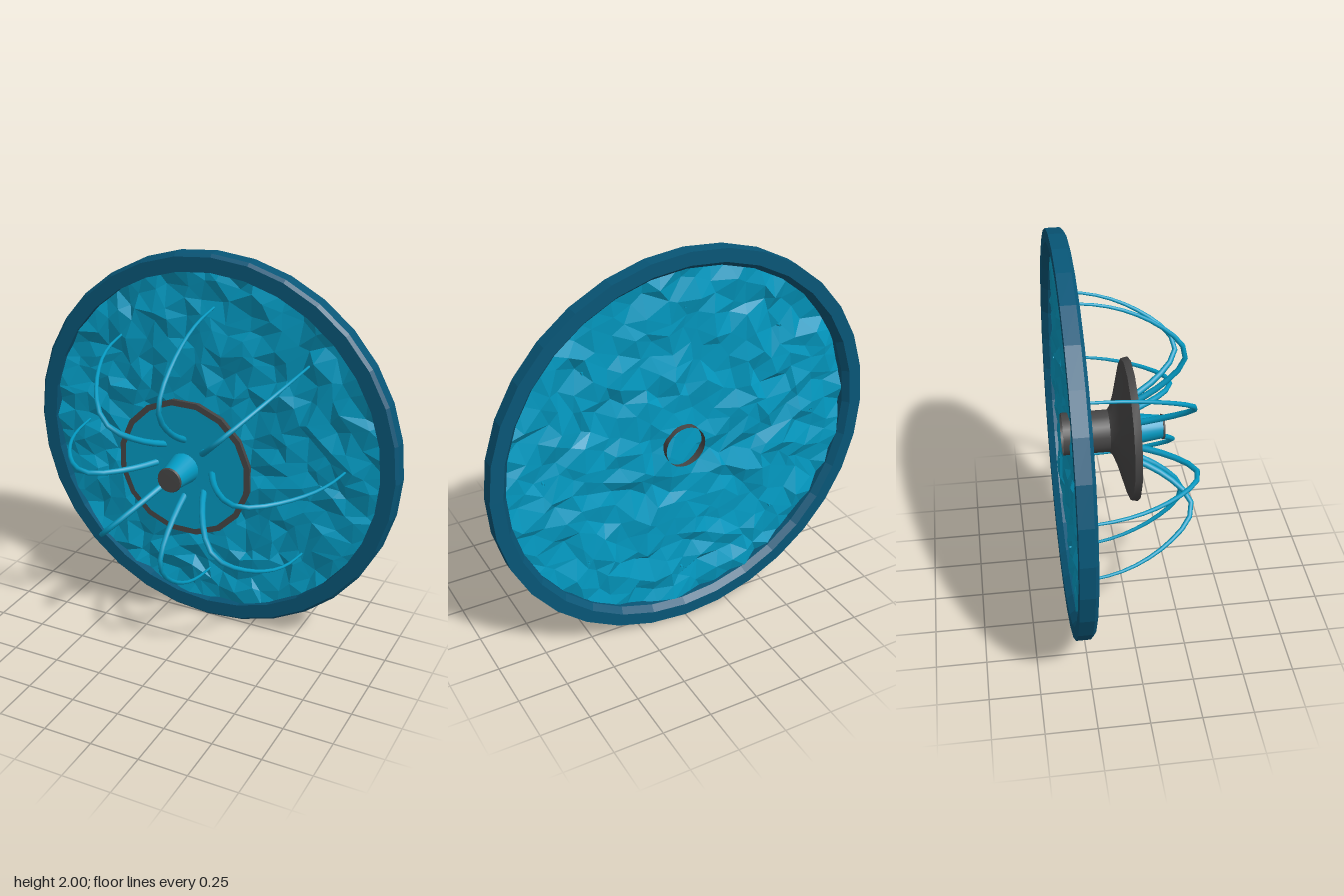
import * as THREE from 'three';
import { toCreasedNormals } from 'three/addons/utils/BufferGeometryUtils.js';

const side = THREE.DoubleSide;
const mat = (name, color, flatShading) => Object.assign(
  new THREE.MeshStandardMaterial({ color, side, flatShading }), { name });

// Revolve a [radius, z] profile around the z axis
function lathe(profile, segments, phiStart = 0) {
  const pts = profile.map(([r, z]) => new THREE.Vector2(r, z));
  const g = new THREE.LatheGeometry(pts, segments, phiStart).rotateX(Math.PI / 2);
  return toCreasedNormals(g, 0.5);
}

// Faceted disc: concentric rings with 6 more points each, shifted by seeded noise
function rippledDisc(radius, rings, z) {
  let seed = 7;
  const rand = () => {
    seed = (seed * 16807) % 2147483647;
    return seed / 2147483647 * 2 - 1;
  };
  const pos = [0, 0, z], index = [];
  const step = radius / rings;
  const start = i => (i === 0 ? 0 : 1 + 3 * i * (i - 1));
  const at = (i, k) => (i === 0 ? 0 : start(i) + k % (6 * i));
  for (let i = 1; i <= rings; i++) {
    const j = i === rings ? 0 : step * 0.36;
    for (let k = 0; k < 6 * i; k++) {
      const a = (k + i * 0.37) / (6 * i) * Math.PI * 2;
      pos.push(Math.cos(a) * i * step + rand() * j,
        Math.sin(a) * i * step + rand() * j, z + rand() * 0.022);
    }
    for (let s = 0; s < 6; s++) {
      for (let k = 0; k < i; k++) {
        const o = s * i + k, n = s * (i - 1) + k;
        index.push(at(i, o), at(i, o + 1), at(i - 1, n));
        if (k < i - 1) index.push(at(i - 1, n), at(i, o + 1), at(i - 1, n + 1));
      }
    }
  }
  const g = new THREE.BufferGeometry();
  g.setAttribute('position', new THREE.Float32BufferAttribute(pos, 3));
  g.setIndex(index);
  g.computeVertexNormals();
  return g;
}

// Tube that narrows from r0 to r1 along its curve
function taperedTube(curve, steps, sides, r0, r1) {
  const g = new THREE.TubeGeometry(curve, steps, 1, sides, false);
  const p = g.attributes.position, v = new THREE.Vector3();
  for (let i = 0; i < p.count; i++) {
    const t = Math.floor(i / (sides + 1)) / steps;
    const c = curve.getPointAt(t);
    v.fromBufferAttribute(p, i).sub(c).multiplyScalar(r0 + (r1 - r0) * t).add(c);
    p.setXYZ(i, v.x, v.y, v.z);
  }
  return g;
}

export function createModel() {
  const model = new THREE.Group();
  const body = new THREE.Group();
  body.name = 'fountain';
  body.position.y = 1;
  model.add(body);

  const rimBlue = mat('rim blue', 0x085677, true);
  const waterFlat = mat('water blue', 0x029ac2, true);
  const darkGrey = mat('dark grey', 0x474646, false);
  const waterSmooth = mat('jet blue', 0x029ac2, false);
  const add = (name, geometry, material, parent = body) => {
    const m = new THREE.Mesh(geometry, material);
    m.name = name;
    parent.add(m);
    return m;
  };

  // Basin
  add('basinRim', lathe([[0.935, -0.318], [1, -0.318], [1, -0.248],
    [0.985, -0.232], [0.91, -0.232], [0.91, -0.285], [0.935, -0.318]], 32), rimBlue);
  add('waterSurface', rippledDisc(0.922, 11, -0.268), waterFlat);

  // Pedestal pipe flaring into a shallow bowl
  add('pedestal', lathe([[0.105, -0.3], [0.105, -0.07]], 24), darkGrey);
  const half = Math.PI / 16;
  add('bowl', lathe([[0.105, -0.07], [0.125, -0.055], [0.19, -0.03], [0.35, 0.015],
    [0.358, 0.05], [0.328, 0.05]], 16, half), darkGrey);
  add('bowlWater', lathe([[0.328, 0.05], [0.001, 0.046]], 16, half), waterSmooth);

  // Central spout
  add('spout', lathe([[0.08, 0.04], [0.057, 0.2]], 20), waterSmooth);
  add('spoutCap', lathe([[0.001, 0.196], [0.064, 0.196], [0.06, 0.206], [0.001, 0.207]], 20), darkGrey);

  // Eight arching jets
  const path = [[0.15, 0.04], [0.2, 0.13], [0.27, 0.22], [0.33, 0.275], [0.4, 0.304], [0.47, 0.28],
    [0.54, 0.215], [0.61, 0.12], [0.67, 0], [0.705, -0.12], [0.725, -0.28]];
  const curve = new THREE.CatmullRomCurve3(path.map(([r, z]) => new THREE.Vector3(r, 0, z)));
  const jet = taperedTube(curve, 15, 8, 0.017, 0.006);
  const jets = new THREE.Group();
  jets.name = 'waterJets';
  body.add(jets);
  for (let i = 0; i < 8; i++) {
    add('waterJet', jet, waterSmooth, jets).rotation.z = i * Math.PI / 4;
  }
  return model;
}
